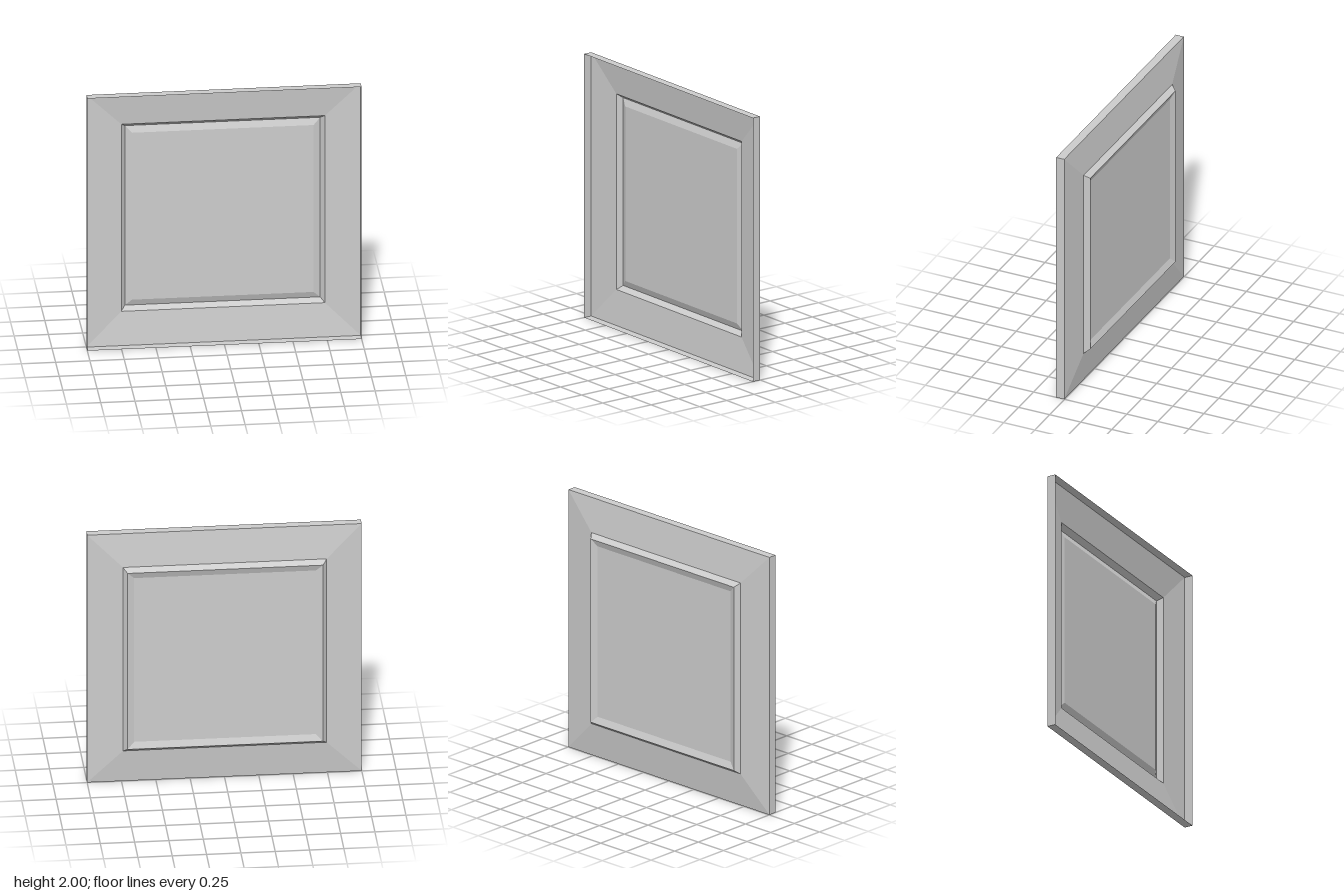
import * as THREE from 'three';

// Thin pressed sheet: square rings stepping inwards, closed by a flat centre.
// Each entry is [half width, z].
const PROFILE = [
  [1.0, 0.068],
  [1.0, 0.003],
  [0.742, -0.028],
  [0.712, -0.068],
  [0.662, -0.048],
];
const RING_NAMES = ['outerRim', 'slopedFrame', 'grooveOuterSlope', 'panelBevel'];

export function createModel() {
  const group = new THREE.Group();
  group.name = 'framedPanel';
  const material = new THREE.MeshStandardMaterial({
    color: 0xcccccc,
    flatShading: true,
    side: THREE.DoubleSide,
  });

  const add = (name, geometry, z = 0) => {
    const mesh = new THREE.Mesh(geometry, material);
    mesh.name = name;
    mesh.position.set(0, 1, z);
    group.add(mesh);
  };

  // A four-sided lathe gives a mitred square ring, turned to face +z
  const squareRing = (from, to) => {
    const points = [to, from].map(([half, z]) => new THREE.Vector2(half * Math.SQRT2, z));
    return new THREE.LatheGeometry(points, 4, Math.PI / 4).rotateX(Math.PI / 2);
  };

  // Rim, frame and groove
  RING_NAMES.forEach((name, i) => add(name, squareRing(PROFILE[i], PROFILE[i + 1])));

  // Flat centre
  const [half, z] = PROFILE[PROFILE.length - 1];
  add('centrePanel', new THREE.PlaneGeometry(half * 2, half * 2), z);

  return group;
}
